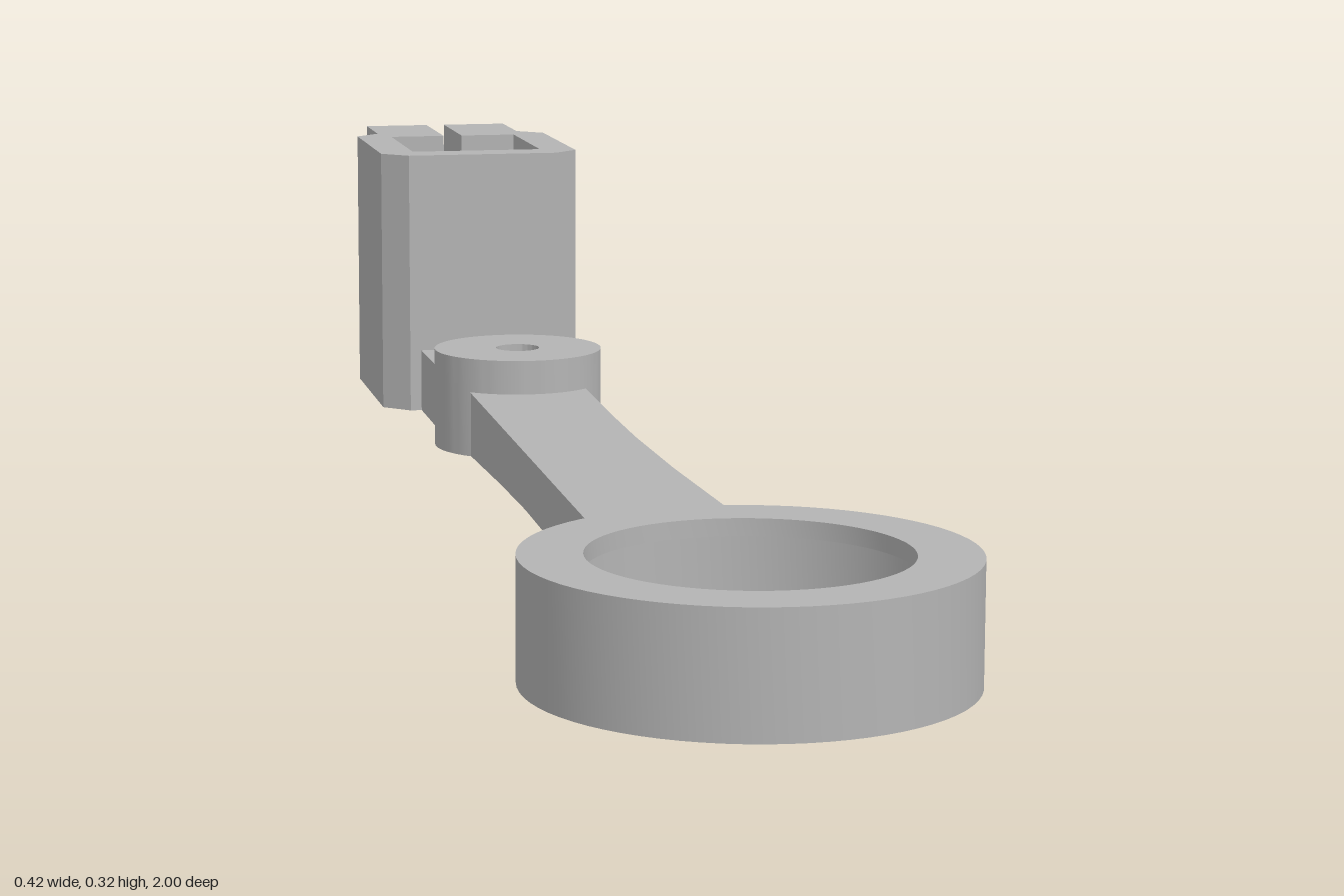
import * as THREE from 'three';
import { toCreasedNormals } from 'three/addons/utils/BufferGeometryUtils.js';

export function createModel() {
  const model = new THREE.Group();
  const grey = new THREE.MeshStandardMaterial({ color: 0xb4b4b4 });
  grey.name = 'grey plastic';

  function add(name, geometry, x = 0, y = 0, z = 0) {
    const mesh = new THREE.Mesh(toCreasedNormals(geometry, 0.5), grey);
    mesh.name = name;
    mesh.position.set(x, y, z);
    model.add(mesh);
  }
  const toPoints = (list) => list.map(([a, b]) => new THREE.Vector2(a, b));
  const extrude = (shape, depth) =>
    new THREE.ExtrudeGeometry(shape, { depth, bevelEnabled: false, curveSegments: 24 });

  // Plan outlines are [x, -z], raised along y
  const raise = (shape, height) => extrude(shape, height).rotateX(-Math.PI / 2);
  // Side outlines are [-z, y], extended along x
  const extendX = (shape, width) => extrude(shape, width).rotateY(Math.PI / 2);
  // Half outline mirrored across x = 0
  const mirrored = (half) =>
    new THREE.Shape(toPoints([...half, ...half.map(([x, v]) => [-x, v]).reverse()]));
  // Closed [radius, height] profile turned about y
  const turn = (profile) =>
    new THREE.LatheGeometry(toPoints([...profile, profile[0]]), 72);

  // Ring with a thin inner lip at the top
  add('ring', turn([
    [0.173, 0], [0.208, 0], [0.208, 0.117], [0.148, 0.117], [0.148, 0.1], [0.173, 0.1],
  ]), 0, 0, 0.791);

  // Pivot boss with a counterbore underneath
  add('pivotBoss', turn([
    [0.047, 0], [0.1, 0], [0.1, 0.117], [0.026, 0.117], [0.026, 0.06], [0.047, 0.06],
  ]), 0, 0, -0.368);

  // Waisted arm: solid lower layer, slotted upper layer
  const armHalf = [[0.08, -0.605], [0.071, -0.4], [0.064, -0.2], [0.062, -0.02], [0.064, 0.12], [0.07, 0.318]];
  const floor = 0.052;
  add('armBase', raise(mirrored(armHalf), floor));
  const armTop = mirrored(armHalf);
  const slot = new THREE.Path();
  slot.absarc(0, 0.232, 0.018, 0, Math.PI, false);
  slot.absarc(0, -0.537, 0.018, Math.PI, Math.PI * 2, false);
  slot.closePath();
  armTop.holes.push(slot);
  add('armGroovedTop', raise(armTop, 0.077 - floor), 0, floor, 0);

  // Short link between boss and clamp
  add('rearArm', raise(mirrored([[0.08, 0.422], [0.08, 0.615]]), 0.077));

  // Square clamp body, open at the back slit
  const height = 0.325, neck = 0.895, gap = 0.012, jawX = 0.094;
  const body = new THREE.Shape(toPoints([
    [-jawX, 0.613], [jawX, 0.613], [0.125, 0.643], [0.125, 0.865], [jawX, neck],
    [gap, neck], [gap, 0.85], [0.082, 0.85], [0.082, 0.66],
    [-0.082, 0.66], [-0.082, 0.85], [-gap, 0.85], [-gap, neck],
    [-jawX, neck], [-0.125, 0.865], [-0.125, 0.643],
  ]));
  add('clampBody', raise(body, height));

  // Jaws with a bolt hole, and a hexagonal nut recess on the left one
  function jaw(hex) {
    const shape = new THREE.Shape(toPoints([[neck, 0], [1, 0], [1, height], [neck, height]]));
    const hole = new THREE.Path();
    if (hex) {
      hole.setFromPoints(toPoints(Array.from({ length: 6 }, (_, i) => {
        const a = Math.PI / 2 + i * Math.PI / 3;
        return [0.946 + 0.054 * Math.cos(a), 0.163 + 0.054 * Math.sin(a)];
      })));
      hole.closePath();
    } else {
      hole.absarc(0.946, 0.163, 0.029, 0, Math.PI * 2, false);
    }
    shape.holes.push(hole);
    return shape;
  }
  const recess = 0.03;
  add('rightJaw', extendX(jaw(false), jawX - gap), -jawX);
  add('leftJawInner', extendX(jaw(false), jawX - gap - recess), gap);
  add('leftJawNutRecess', extendX(jaw(true), recess), jawX - recess);

  return model;
}
